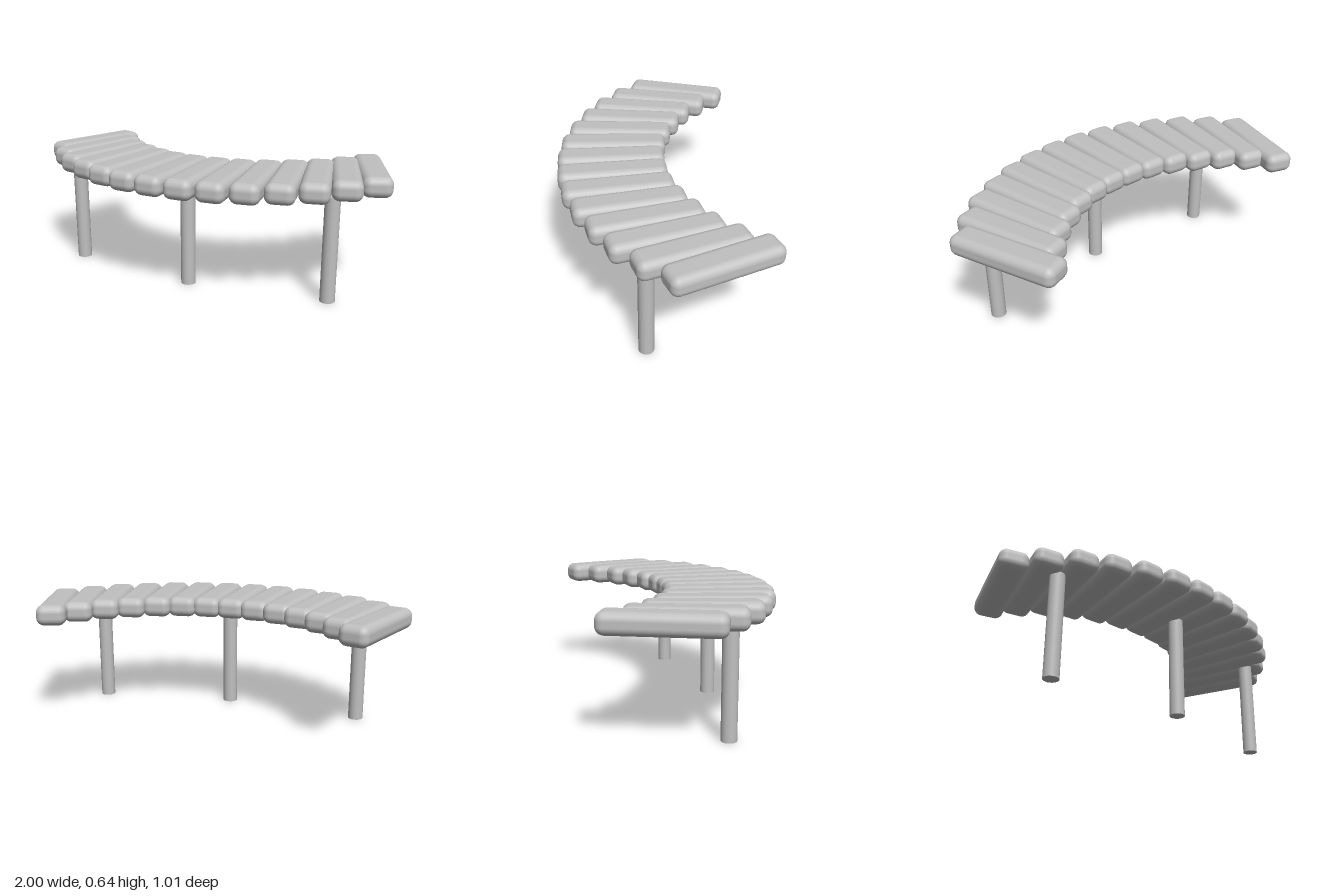
import * as THREE from 'three';
import { RoundedBoxGeometry } from 'three/addons/geometries/RoundedBoxGeometry.js';

export function createModel() {
  const bench = new THREE.Group();
  bench.name = 'curvedBench';
  const grey = new THREE.MeshStandardMaterial({ color: 0xc0c0c0 });
  grey.name = 'lightGrey';

  // Seat: rounded slats fanned along an arc, mirrored left and right
  const slatGeometry = new RoundedBoxGeometry(0.15, 0.105, 0.565, 5, 0.04);
  const slatCentres = [ // x, z
    [0.074, 0.215], [0.221, 0.195], [0.364, 0.15], [0.5, 0.083],
    [0.629, 0.003], [0.744, -0.104], [0.845, -0.227],
  ];
  const seat = new THREE.Group();
  seat.name = 'seat';
  slatCentres.forEach(([x, z], i) => {
    for (const side of [1, -1]) {
      const slat = new THREE.Mesh(slatGeometry, grey);
      slat.name = `${side > 0 ? 'left' : 'right'}Slat${i + 1}`;
      slat.position.set(side * x, 0.5925, z);
      slat.rotation.y = side * THREE.MathUtils.degToRad(1.5 * (2 * i + 1));
      seat.add(slat);
    }
  });
  bench.add(seat);

  // Three round legs, running slightly into the slats
  const legHeight = 0.55;
  const legGeometry = new THREE.CylinderGeometry(0.039, 0.039, legHeight, 32);
  for (const [name, x, z] of [
    ['leftLeg', 0.738, 0.105], ['middleLeg', 0, 0.2], ['rightLeg', -0.738, 0.105],
  ]) {
    const leg = new THREE.Mesh(legGeometry, grey);
    leg.name = name;
    leg.position.set(x, legHeight / 2, z);
    bench.add(leg);
  }
  return bench;
}
